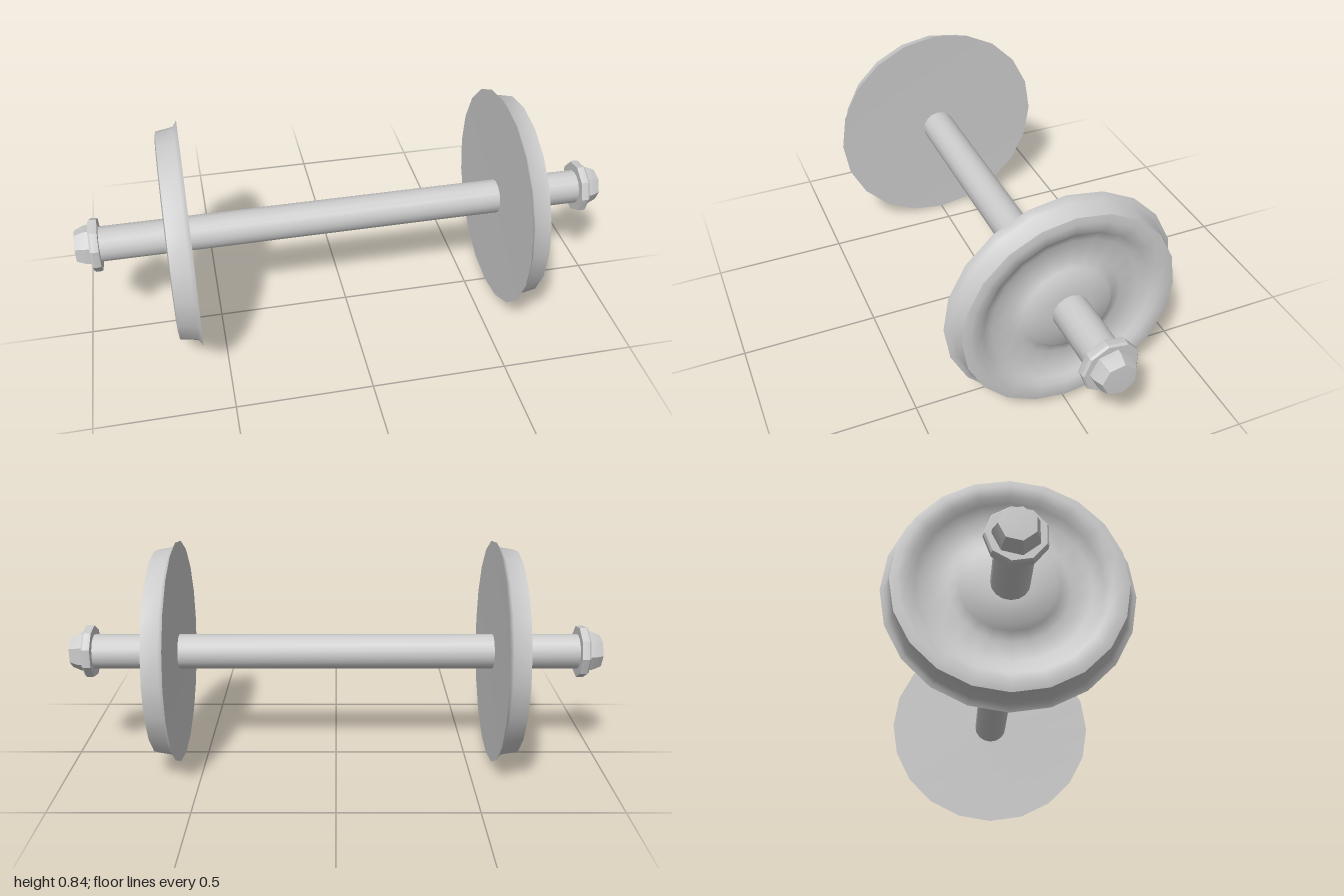
import * as THREE from 'three';
import { toCreasedNormals } from 'three/addons/utils/BufferGeometryUtils.js';

const AXLE_HEIGHT = 0.418;

export function createModel() {
  const model = new THREE.Group();
  model.name = 'wheelset';
  const material = new THREE.MeshStandardMaterial({ color: 0xcccccc });

  // Turns a [radius, x] profile around the axle (the x axis)
  function turned(name, profile, sides, crease, parent) {
    const points = profile.map(([r, x]) => new THREE.Vector2(r, x));
    const geometry = toCreasedNormals(new THREE.LatheGeometry(points, sides), crease);
    geometry.rotateZ(-Math.PI / 2);
    const mesh = new THREE.Mesh(geometry, material);
    mesh.name = name;
    parent.add(mesh);
    return mesh;
  }

  // Axle shaft
  turned('axle', [[0, -0.95], [0.065, -0.95], [0.065, 0.95], [0, 0.95]], 16, 0.8, model);

  for (const side of ['left', 'right']) {
    const end = new THREE.Group();
    end.name = side + 'End';

    // Flat back, thin flange, tapered tread, rounded rim and dished web
    turned('wheel', [
      [0, 0.592], [0.418, 0.588], [0.407, 0.594], [0.396, 0.604],
      [0.385, 0.668], [0.36, 0.672], [0.325, 0.667], [0.305, 0.652],
      [0.27, 0.635], [0.2, 0.632], [0.165, 0.642], [0.15, 0.656], [0.06, 0.662],
    ], 20, 0.9, end);

    // Collar near the axle end
    turned('collar', [
      [0.06, 0.912], [0.098, 0.912], [0.1, 0.92], [0.1, 0.938], [0.094, 0.945], [0.06, 0.945],
    ], 9, 0.5, end);

    // Tapered end cap
    turned('endCap', [
      [0.06, 0.94], [0.076, 0.945], [0.074, 0.965], [0.06, 0.998], [0, 1],
    ], 7, 0.5, end);

    if (side === 'right') end.rotation.y = Math.PI;
    model.add(end);
  }

  // Raise so the flanges rest on the ground
  for (const part of model.children) part.position.y = AXLE_HEIGHT;
  return model;
}
